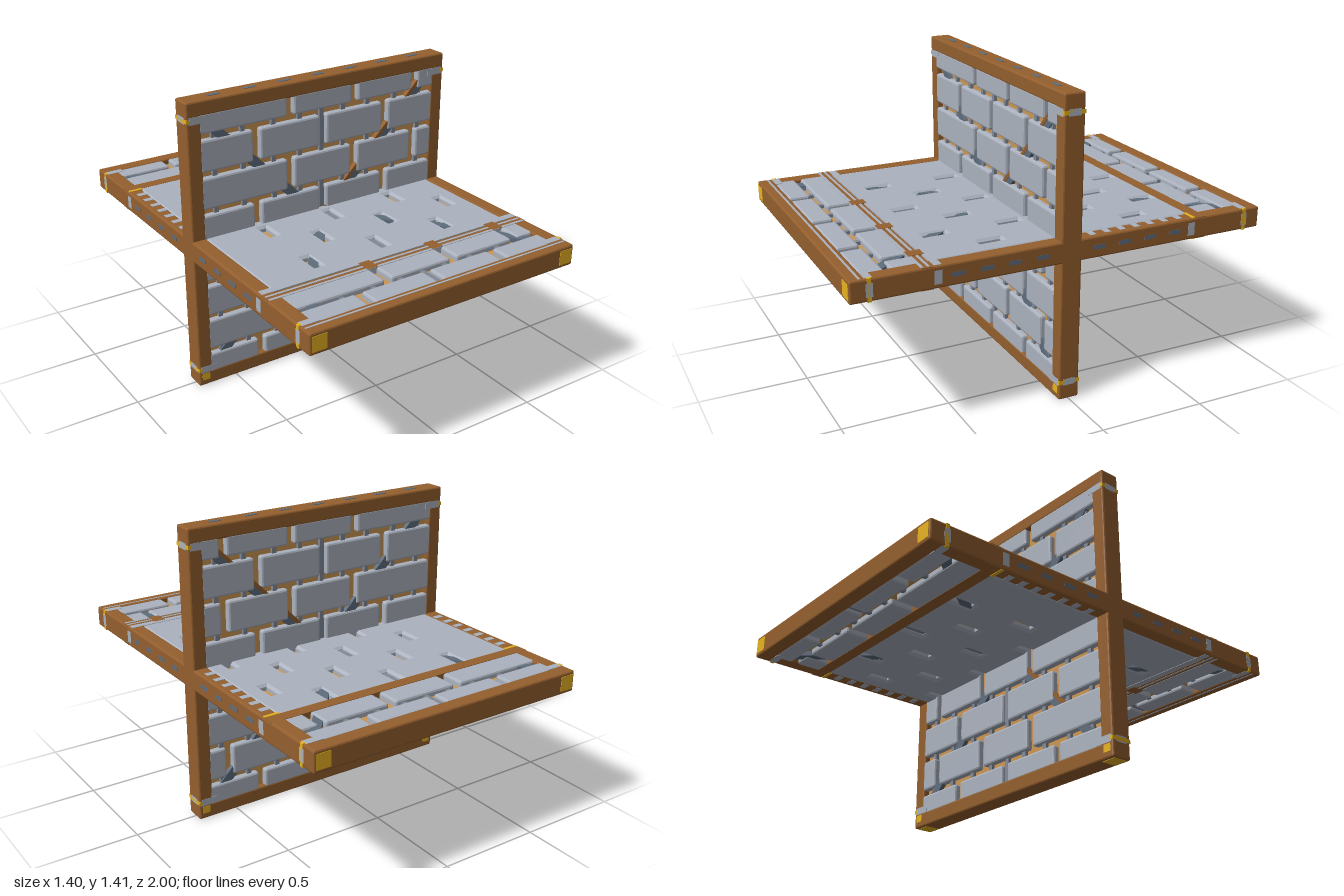
import * as THREE from 'three';
import { RoundedBoxGeometry } from 'three/addons/geometries/RoundedBoxGeometry.js';

const mat = (name, color) => {
  const m = new THREE.MeshStandardMaterial({ color });
  m.name = name;
  return m;
};

export function createModel() {
  const stone = mat('lightStone', 0xacb3bf);
  const steel = mat('slate', 0x5f6d7d);
  const peg = mat('pegGrey', 0x828a97);
  const wood = mat('brownWood', 0x945f2e);
  const board = mat('tanBoard', 0xcc9652);
  const gold = mat('gold', 0xeeb822);

  // Box, with flat chamfers of size r where given
  const box = (parent, name, m, w, h, d, x, y, z, r = 0) => {
    const g = r ? new RoundedBoxGeometry(w, h, d, 1, r) : new THREE.BoxGeometry(w, h, d);
    if (r) g.computeVertexNormals();
    const mesh = new THREE.Mesh(g, m);
    mesh.name = name;
    mesh.position.set(x, y, z);
    parent.add(mesh);
    return mesh;
  };

  const joints = (odd) => (odd ? [-0.177, 0.177, 0.53] : [-0.355, 0, 0.355]);

  // One row of bevelled blocks, split at its joints; y0 to y1 is the flat face
  const bevel = 0.01;
  const brickRow = (p, y0, y1, odd) => {
    const edges = [-0.662, ...joints(odd), 0.662];
    for (let i = 0; i < edges.length - 1; i++) {
      const a = edges[i] + 0.028 - bevel, b = edges[i + 1] - 0.028 + bevel;
      box(p, 'block', stone, b - a, y1 - y0 + 2 * bevel, 0.098, (a + b) / 2, (y0 + y1) / 2, 0, bevel);
    }
    // strut standing in the central joint
    if (!odd) box(p, 'jointStrut', peg, 0.026, y1 - y0, 0.07, 0, (y0 + y1) / 2, 0);
  };

  // Small pegs in the gap between two rows
  const pegRow = (p, y, h) => {
    for (const x of [-0.565, -0.42, -0.26, -0.12, 0, 0.12, 0.26, 0.42, 0.565])
      box(p, 'peg', peg, 0.022, h, 0.07, x, y, 0);
  };

  // Diagonal brace from one point to another, moved sideways by off
  const brace = (p, name, m, w, d, x0, y0, x1, y1, off = 0) => {
    const len = Math.hypot(x1 - x0, y1 - y0);
    const nx = -(y1 - y0) / len, ny = (x1 - x0) / len;
    const mesh = box(p, name, m, len, w, d, (x0 + x1) / 2 + nx * off, (y0 + y1) / 2 + ny * off, 0);
    mesh.rotation.z = Math.atan2(y1 - y0, x1 - x0);
  };
  const steelBrace = (p, ...ends) => brace(p, 'diagonalBrace', steel, 0.045, 0.084, ...ends);

  // Frame, backing board and corner details of a panel with half height H
  const framedPanel = (name, H) => {
    const p = new THREE.Group();
    p.name = name;
    box(p, 'backingBoard', board, 1.3, 2 * H - 0.1, 0.04, 0, 0, 0);
    for (const s of [-1, 1]) {
      box(p, 'sideRail', wood, 0.07, 2 * H, 0.1, s * 0.665, 0, 0, 0.008);
      box(p, 'endRail', wood, 1.4, 0.07, 0.1, 0, s * (H - 0.035), 0, 0.008);
      for (const t of [-1, 1]) {
        box(p, 'cornerTab', stone, 0.085, 0.034, 0.102, t * 0.648, s * (H - 0.084), 0);
        box(p, 'sideTab', stone, 0.004, 0.03, 0.06, t * 0.699, s * (H - 0.084), 0);
        box(p, 'cornerTick', gold, 0.016, 0.018, 0.103, t * 0.693, s * (H - 0.084), 0);
      }
    }
    return p;
  };

  const goldPlates = (p, y) => {
    for (const s of [-1, 1]) box(p, 'cornerPlate', gold, 0.07, 0.004, 0.07, s * 0.655, y, 0);
  };

  const model = new THREE.Group();
  model.name = 'crossedPanels';

  // Upright panel
  const H = 0.703;
  const wall = framedPanel('uprightPanel', H);
  const pitch = 0.178;
  for (let k = 0; k < 8; k++) {
    const y = (k - 3.5) * pitch;
    brickRow(wall, Math.max(y - 0.065, -0.635), Math.min(y + 0.065, 0.635), k % 2 === 1);
    if (k < 7) pegRow(wall, y + pitch / 2, 0.055);
  }
  for (const s of [-1, 1]) steelBrace(wall, -0.63, -s * 0.63, 0.63, s * 0.63);
  brace(wall, 'woodBraceEdge', wood, 0.018, 0.088, -0.46, -0.46, 0.63, 0.63, 0.02);
  goldPlates(wall, -H);
  for (const s of [-1, 1]) {
    // small gold corners at the foot, on both faces
    box(wall, 'footCorner', gold, 0.04, 0.035, 0.102, s * 0.665, -H + 0.045, 0);
  }
  // slate inlays along the top edge
  for (let k = -3; k <= 3; k++) box(wall, 'topInlay', steel, 0.06, 0.004, 0.02, k * 0.18, H, 0);
  wall.position.y = 0.705;
  model.add(wall);

  // Level panel, built upright and laid down (its local y points to the back)
  const L = 0.998;
  const floor = framedPanel('levelPanel', L);
  const rows = [[0.85, 0.92, false], [0.7, 0.8, true], [-0.79, -0.69, true], [-0.92, -0.838, false]];
  for (const [a, b, odd] of rows) brickRow(floor, a, b, odd);
  pegRow(floor, 0.825, 0.045);
  pegRow(floor, -0.812, 0.05);

  // Slab with a bevelled slot at every joint
  const slab = new THREE.Shape();
  slab.moveTo(-0.635, -0.64).lineTo(0.635, -0.64).lineTo(0.635, 0.66).lineTo(-0.635, 0.66);
  slab.closePath();
  [0.573, 0.41, 0.235, 0.06, -0.13, -0.305, -0.49].forEach((y, i) => {
    for (const x of joints(i % 2 === 1)) {
      const w = 0.018, h = 0.053, hole = new THREE.Path();
      hole.moveTo(x - w, y - h).lineTo(x - w, y + h).lineTo(x + w, y + h).lineTo(x + w, y - h);
      hole.closePath();
      slab.holes.push(hole);
      if (x === 0) box(floor, 'slotStrut', peg, 0.024, 2 * h, 0.07, 0, y, 0);
    }
  });
  const slabGeo = new THREE.ExtrudeGeometry(slab, {
    depth: 0.074, bevelThickness: 0.012, bevelSize: 0.012, bevelOffset: -0.012, bevelSegments: 1,
  });
  slabGeo.translate(0, 0, -0.037);
  const slabMesh = new THREE.Mesh(slabGeo, stone);
  slabMesh.name = 'slottedSlab';
  floor.add(slabMesh);

  // Cross rails and stone strips beside the slab
  box(floor, 'backCrossRail', wood, 1.396, 0.058, 0.1, 0, 0.669, 0);
  box(floor, 'frontCrossRail', wood, 1.396, 0.05, 0.099, 0, -0.665, 0);
  for (const [y, h] of [[-0.617, 0.035], [-0.657, 0.012], [-0.686, 0.014], [-0.951, 0.01]])
    box(floor, 'stoneStrip', stone, 1.38, h, 0.102, 0, y, 0);
  for (const x of joints(true)) box(floor, 'jointBlock', wood, 0.056, 0.07, 0.103, x, -0.657, 0);

  for (const s of [-1, 1]) {
    box(floor, 'crossRailTick', gold, 0.07, 0.016, 0.104, s * 0.66, 0.634, 0);
    // stone dashes let into the back half of the side rails
    for (let k = 0; k < 7; k++)
      box(floor, 'railDash', stone, 0.045, 0.03, 0.102, s * 0.655, 0.12 + k * 0.075, 0);
    for (const t of [-1, 1]) {
      box(floor, 'sideMark', stone, 0.004, 0.035, 0.06, s * 0.699, t * 0.62, 0);
      // slate inlays along the outer edge
      for (let k = 0; k < 4; k++)
        box(floor, 'sideInlay', steel, 0.004, 0.06, 0.02, s * 0.699, t * (0.14 + k * 0.13), 0);
    }
    // braces
    steelBrace(floor, s * 0.62, 0.88, s * 0.3, 0.5);
    steelBrace(floor, s * 0.62, -0.88, s * 0.355, -0.5);
    steelBrace(floor, s * 0.355, -0.5, s * 0.14, -0.24);
    goldPlates(floor, s * L);
  }
  floor.rotation.x = -Math.PI / 2;
  floor.position.y = 0.71;
  model.add(floor);

  return model;
}
